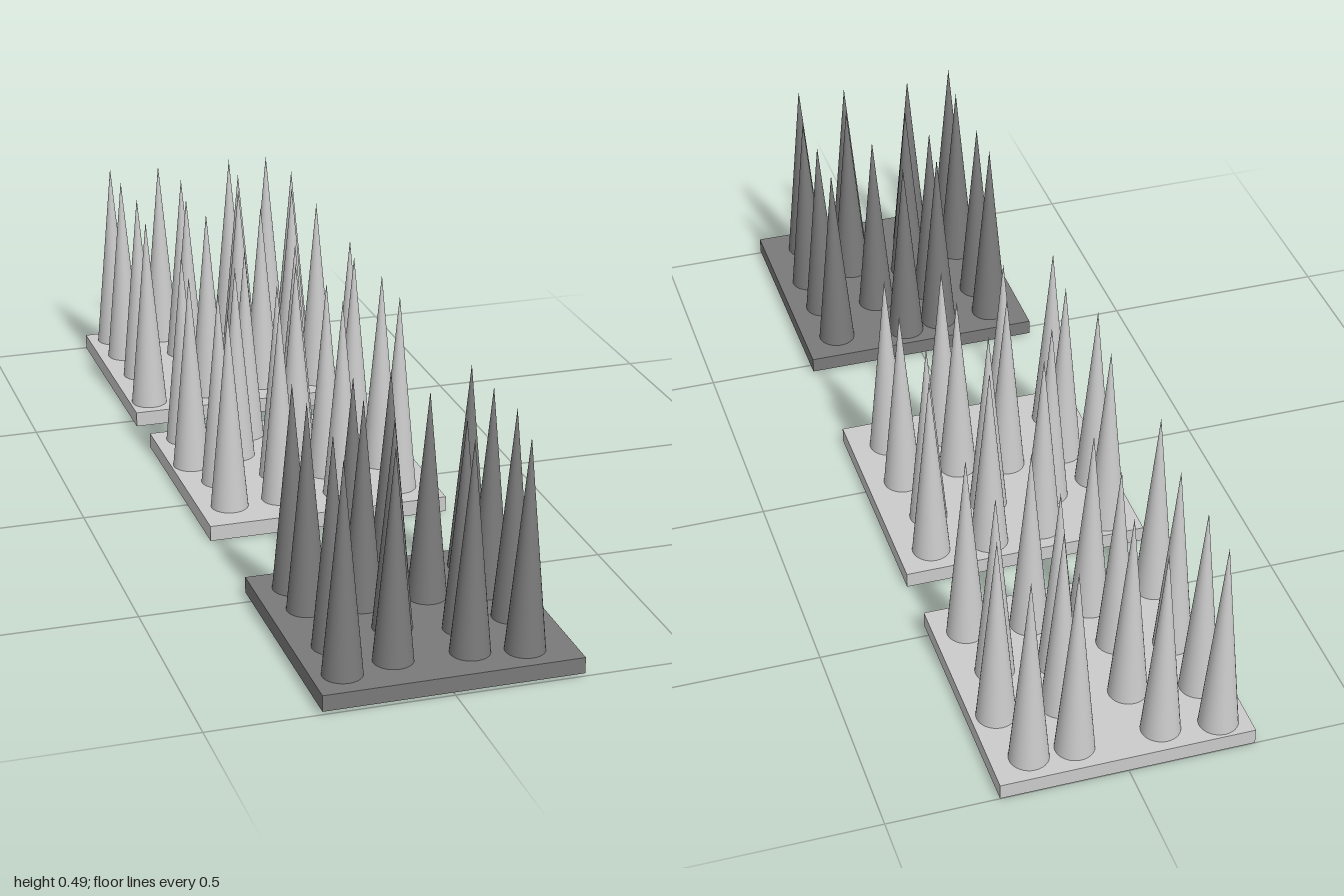
import * as THREE from 'three';

const SIZE = 0.533, THICK = 0.034, SPIKE_R = 0.041, SPIKE_H = 0.447;

// Each bed: centre z, base height, colour and its loosely gridded spikes as [x, z]
const BEDS = [
  { name: 'frontSpikeBed', z: 0.733, y: 0.006, color: 0x7a7a7a, spikes: [
    [-0.188, 0.54], [-0.061, 0.54], [0.024, 0.524], [0.188, 0.545],
    [-0.188, 0.64], [-0.077, 0.656], [0.061, 0.656], [0.188, 0.672],
    [-0.188, 0.81], [-0.05, 0.767], [0.082, 0.81], [0.193, 0.788],
    [-0.204, 0.926], [-0.093, 0.9], [0.061, 0.91], [0.167, 0.931]] },
  { name: 'middleSpikeBed', z: -0.071, y: 0, color: 0xcccccc, spikes: [
    [-0.198, -0.286], [-0.056, -0.27], [0.066, -0.28], [0.193, -0.27],
    [-0.22, -0.138], [-0.108, -0.164], [0.029, -0.153], [0.167, -0.159],
    [-0.183, -0.032], [-0.05, -0.032], [0.056, -0.011], [0.188, -0.026],
    [-0.198, 0.101], [-0.082, 0.095], [0.056, 0.106], [0.183, 0.111]] },
  { name: 'backSpikeBed', z: -0.733, y: 0, color: 0xcccccc, spikes: [
    [-0.204, -0.952], [-0.087, -0.937], [0.093, -0.937], [0.188, -0.937],
    [-0.204, -0.841], [-0.061, -0.815], [0.082, -0.815], [0.214, -0.804],
    [-0.198, -0.704], [-0.087, -0.667], [0.05, -0.698], [0.177, -0.677],
    [-0.22, -0.529], [-0.071, -0.545], [0.066, -0.561], [0.198, -0.545]] },
];

export function createModel() {
  const model = new THREE.Group();
  model.name = 'spikeBeds';
  const plateGeo = new THREE.BoxGeometry(SIZE, THICK, SIZE);
  const spikeGeo = new THREE.ConeGeometry(SPIKE_R, SPIKE_H, 32, 4);

  for (const bed of BEDS) {
    const group = new THREE.Group();
    group.name = bed.name;
    group.position.set(0, bed.y, bed.z);
    const material = new THREE.MeshStandardMaterial({ color: bed.color });

    // Square base plate
    const plate = new THREE.Mesh(plateGeo, material);
    plate.name = 'basePlate';
    plate.position.y = THICK / 2;
    group.add(plate);

    // Spikes standing on the plate
    for (const [x, z] of bed.spikes) {
      const spike = new THREE.Mesh(spikeGeo, material);
      spike.name = 'spike';
      spike.position.set(x, THICK + SPIKE_H / 2, z - bed.z);
      group.add(spike);
    }
    model.add(group);
  }
  return model;
}
